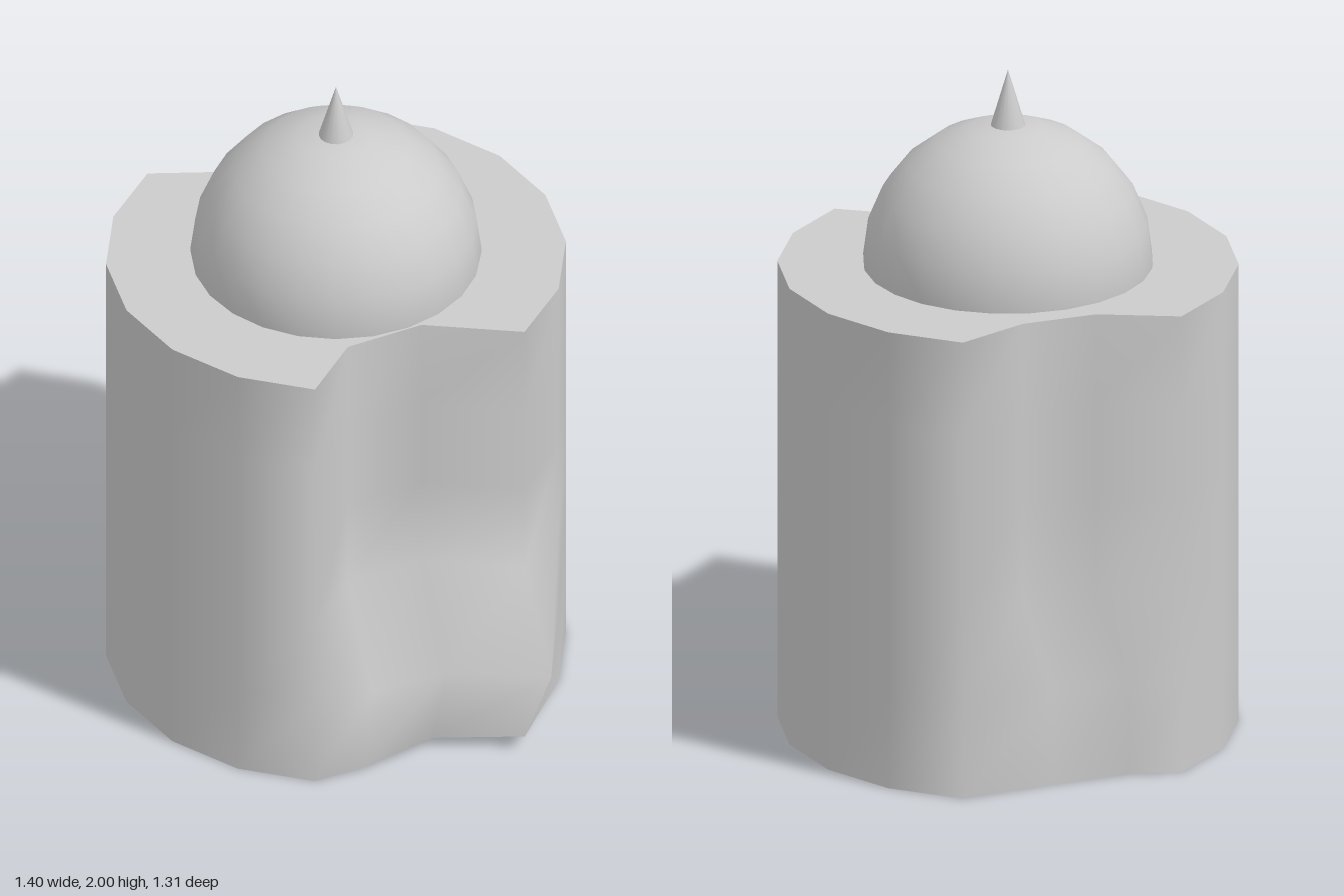
import * as THREE from 'three';

const SIDES = 18, RADIUS = 0.665, AXIS_X = -0.04, TOP = 1.405;
const LEVELS = [0, 0.28, 0.56, 0.84, 1.12, TOP];

// Horizontal offsets [dx, dz, dy] of the pushed columns (index = 20 degree step):
// foot, swelling at the second level, and the straight grooved shaft above.
const PUSHED = {
  1: { foot: [0.035, 0.125, 0.05], swell: [0.115, 0.13, 0], shaft: [0, 0, 0] },
  2: { foot: [-0.11, -0.025, 0.03], swell: [-0.065, -0.015, 0], shaft: [-0.18, -0.155, 0] },
  3: { foot: [-0.09, -0.015, 0.01], swell: [-0.07, -0.015, 0], shaft: [-0.18, -0.145, 0] },
  11: { foot: [0.02, 0.13, 0], swell: [0.02, 0.137, 0], shaft: [0.12, 0.127, 0] },
  12: { foot: [0.015, 0.125, 0], swell: [0.022, 0.136, 0], shaft: [0.112, 0.126, 0] },
};

function ringPoint(i, level) {
  const a = (i % SIDES) / SIDES * Math.PI * 2;
  const push = PUSHED[i % SIDES];
  const [dx, dz, dy] = push ? (level === 0 ? push.foot : level === 1 ? push.swell : push.shaft) : [0, 0, 0];
  return [AXIS_X + RADIUS * Math.cos(a) + dx, LEVELS[level] + dy, RADIUS * Math.sin(a) + dz];
}

function build(points, index) {
  const g = new THREE.BufferGeometry();
  g.setAttribute('position', new THREE.Float32BufferAttribute(points.flat(), 3));
  g.setIndex(index);
  g.computeVertexNormals();
  return g;
}

// Smooth wall joining all the rings
function wallGeometry() {
  const points = [], index = [];
  LEVELS.forEach((_, level) => {
    for (let i = 0; i < SIDES; i++) points.push(ringPoint(i, level));
  });
  for (let level = 0; level < LEVELS.length - 1; level++) {
    for (let i = 0; i < SIDES; i++) {
      const a = level * SIDES + i, c = level * SIDES + (i + 1) % SIDES;
      const b = a + SIDES, d = c + SIDES;
      index.push(a, b, c, b, d, c);
    }
  }
  return build(points, index);
}

// Fan closing one end
function capGeometry(level, up) {
  const points = [[AXIS_X, LEVELS[level], 0]], index = [];
  for (let i = 0; i < SIDES; i++) {
    points.push(ringPoint(i, level));
    const p = i + 1, q = (i + 1) % SIDES + 1;
    index.push(0, up ? q : p, up ? p : q);
  }
  return build(points, index);
}

export function createModel() {
  const model = new THREE.Group();
  model.name = 'domedColumn';
  const material = new THREE.MeshStandardMaterial({ color: 0xcccccc });

  function add(parent, name, geometry, x = 0, y = 0) {
    const mesh = new THREE.Mesh(geometry, material);
    mesh.name = name;
    mesh.position.set(x, y, 0);
    parent.add(mesh);
  }

  // Grooved column
  const body = new THREE.Group();
  body.name = 'body';
  add(body, 'bodyWall', wallGeometry());
  add(body, 'bodyTop', capGeometry(LEVELS.length - 1, true));
  add(body, 'bodyBottom', capGeometry(0, false));
  model.add(body);

  // Dome, sunk slightly into the column, and its spike
  add(model, 'dome', new THREE.SphereGeometry(0.42, 24, 7, 0, Math.PI * 2, 0, Math.PI * 7 / 12), AXIS_X, 1.417);
  add(model, 'spike', new THREE.ConeGeometry(0.053, 0.18, 16), AXIS_X, 1.91);

  return model;
}
